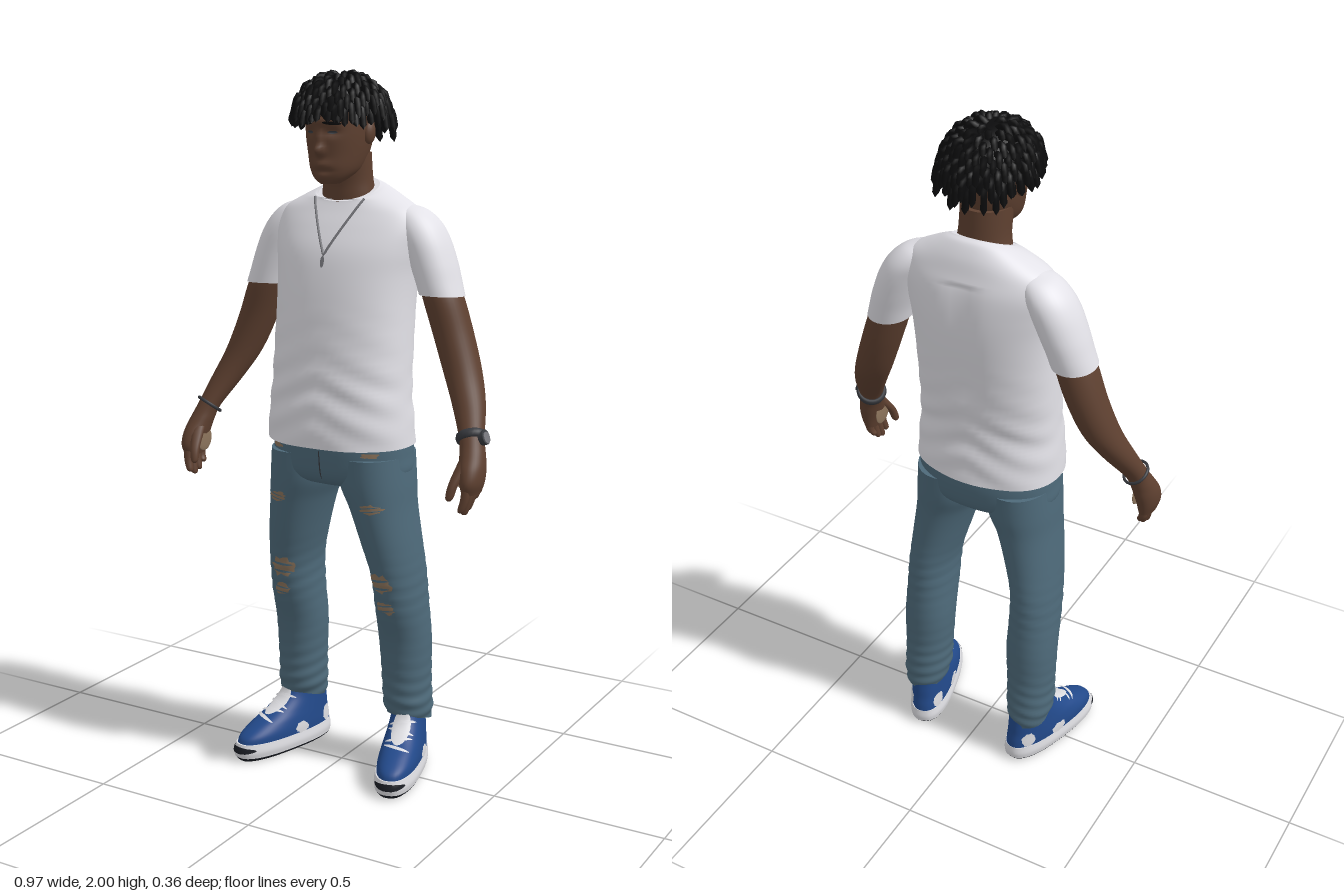
import * as THREE from 'three';
import { mergeGeometries } from 'three/addons/utils/BufferGeometryUtils.js';

const V = (x, y, z) => new THREE.Vector3(x, y, z);
const mat = (name, color) => Object.assign(new THREE.MeshStandardMaterial({ color }), { name });

// Closed smooth skin through elliptical rings [x, y, z, rx, rz, tilt]; tilt lowers the front edge
function loft(rings, { seg = 32, steps = 6, power = 2, deform } = {}) {
  const mid = new THREE.CatmullRomCurve3(rings.map(r => V(r[0], r[1], r[2])), false, 'catmullrom');
  const rad = new THREE.CatmullRomCurve3(rings.map(r => V(r[3], r[4], r[5] || 0)), false, 'catmullrom');
  const n = (rings.length - 1) * steps, pos = [], idx = [];
  const bend = c => Math.sign(c) * Math.abs(c) ** (2 / power);
  const addRing = t => {
    const c = mid.getPoint(t), r = rad.getPoint(t);
    for (let j = 0; j < seg; j++) {
      const a = j / seg * Math.PI * 2, s = bend(Math.sin(a));
      const p = V(c.x + r.x * bend(Math.cos(a)), c.y - r.z * s, c.z + r.y * s);
      if (deform) deform(p, c);
      pos.push(p.x, p.y, p.z);
    }
  };
  for (let i = 0; i <= n; i++) addRing(i / n);
  for (let i = 0; i < n; i++) for (let j = 0; j < seg; j++) {
    const k = (j + 1) % seg, a = i * seg + j, b = i * seg + k;
    idx.push(a, a + seg, b, b, a + seg, b + seg);
  }
  for (const t of [0, 1]) { // flat end caps
    const base = pos.length / 3, c = mid.getPoint(t);
    addRing(t);
    pos.push(c.x, c.y, c.z);
    for (let j = 0; j < seg; j++) {
      const a = base + j, b = base + (j + 1) % seg;
      idx.push(base + seg, ...(t ? [b, a] : [a, b]));
    }
  }
  const g = new THREE.BufferGeometry();
  g.setAttribute('position', new THREE.Float32BufferAttribute(pos, 3));
  g.setIndex(idx);
  g.computeVertexNormals();
  return g;
}

let seed = 7;
const rand = () => (seed = (seed * 16807) % 2147483647) / 2147483647;

// Point on a mesh seen from outside along dir
const ray = new THREE.Raycaster();
function project(mesh, p, dir, lift = 0.003) {
  ray.set(p.clone().addScaledVector(dir, 1), dir.clone().negate());
  const hit = ray.intersectObject(mesh)[0];
  return hit ? hit.point.addScaledVector(dir, lift) : null;
}

// Thin patch draped over a mesh, with an optionally ragged rim
function patchGeometry(mesh, c, dir, w, h, { jag = 0, lift = 0.003, roll = 0 } = {}) {
  const seg = 20, rows = 4, pos = [], idx = [];
  const a0 = V(0, 1, 0).cross(dir).normalize(), b0 = dir.clone().cross(a0);
  const a = a0.clone().applyAxisAngle(dir, roll), b = b0.applyAxisAngle(dir, roll);
  const centre = project(mesh, c, dir, lift) || c;
  pos.push(...centre.toArray());
  const rim = Array.from({ length: seg }, () => 1 - jag * rand());
  for (let i = 1; i <= rows; i++) for (let j = 0; j < seg; j++) {
    const t = j / seg * Math.PI * 2;
    let p = null;
    for (let r = rim[j] * i / rows; !p && r > 0.02; r *= 0.85)
      p = project(mesh, c.clone().addScaledVector(a, w * r * Math.cos(t)).addScaledVector(b, h * r * Math.sin(t)), dir, lift);
    pos.push(...(p || centre).toArray());
    const k = (j + 1) % seg, o = 1 + (i - 1) * seg;
    if (i === 1) idx.push(0, o + j, o + k);
    else idx.push(o - seg + j, o + j, o + k, o - seg + j, o + k, o - seg + k);
  }
  const g = new THREE.BufferGeometry();
  g.setAttribute('position', new THREE.Float32BufferAttribute(pos, 3));
  g.setIndex(idx);
  g.computeVertexNormals();
  return g;
}

export function createModel() {
  const M = {
    skin: mat('skin', 0x5e4030), hair: mat('hair', 0x0b0b0c), shirt: mat('shirt cotton', 0xe3e2e8),
    denim: mat('denim', 0x4e6a7a), tan: mat('tan', 0x8c745c), blue: mat('shoe blue', 0x22498a),
    white: mat('shoe white', 0xdcdce0), sole: mat('outsole', 0x1a1d24), metal: mat('chain metal', 0x77777c),
    dark: mat('dark metal', 0x383a3f),
  };
  const root = new THREE.Group();
  const add = (name, geo, m, parent = root) => {
    const mesh = new THREE.Mesh(geo, m);
    mesh.name = name;
    parent.add(mesh);
    return mesh;
  };
  const patch = (name, m, mesh, c, dir, w, h, o, parent) => add(name, patchGeometry(mesh, c, dir.normalize(), w, h, o), m, parent);
  const front = V(0, 0, 1);

  // Head: oval loft with facial relief pushed in and out along z
  const relief = [[0, 1.79, 0.024, 0.013, 0.014], [0, 1.82, 0.014, 0.009, 0.025], [0, 1.752, 0.009, 0.025, 0.012],
    [0, 1.718, 0.006, 0.02, 0.012], [-0.034, 1.838, -0.01, 0.018, 0.011], [0.034, 1.838, -0.01, 0.018, 0.011],
    [0, 1.867, 0.007, 0.05, 0.01], [0, 1.735, -0.004, 0.03, 0.006]];
  const head = add('head', loft([[0, 1.7, 0.062, 0.025, 0.03], [0, 1.715, 0.052, 0.046, 0.05], [0, 1.74, 0.03, 0.064, 0.08],
    [0, 1.78, 0.015, 0.075, 0.098], [0, 1.83, 0.008, 0.082, 0.112], [0, 1.88, 0.003, 0.084, 0.12], [0, 1.92, 0, 0.08, 0.112],
    [0, 1.95, -0.003, 0.06, 0.085], [0, 1.968, -0.005, 0.02, 0.03]], {
    seg: 72, steps: 7, power: 2.15, deform: (p, c) => {
      if (p.z < c.z) return;
      const { x, y } = p;
      for (const [bx, by, amt, sx, sy] of relief) p.z += amt * Math.exp(-(((x - bx) / sx) ** 2) - ((y - by) / sy) ** 2);
    },
  }), M.skin);
  add('neck', loft([[0, 1.58, -0.045, 0.085, 0.07], [0, 1.66, -0.04, 0.078, 0.066], [0, 1.71, -0.035, 0.071, 0.065],
    [0, 1.78, -0.022, 0.07, 0.074]]), M.skin);
  for (const s of [1, -1]) {
    const ear = add('ear', new THREE.SphereGeometry(1, 16, 12), M.skin);
    ear.scale.set(0.013, 0.031, 0.02);
    ear.position.set(s * 0.085, 1.835, -0.003);
    ear.rotation.set(-0.15, s * -0.3, 0);
    patch('eye', M.dark, head, V(s * 0.034, 1.838, 0), front, 0.012, 0.004, { lift: 0.002 });
    patch('eyebrow', M.hair, head, V(s * 0.036, 1.862, 0), front, 0.021, 0.0045, { lift: 0.002, roll: s * -0.08 });
  }

  // Hair: scalp cap with locks radiating from the crown and drooping
  const cap = add('scalp hair', new THREE.SphereGeometry(1, 32, 20, 0, Math.PI * 2, 0, 1.75), M.hair);
  cap.scale.set(0.102, 0.092, 0.126);
  cap.position.set(0, 1.893, -0.008);
  cap.rotation.x = -0.22;
  cap.material.side = THREE.DoubleSide;
  const locks = [], count = 170;
  for (let i = 0; i < count; i++) {
    const u = 1 - 1.12 * (i + 0.5) / count, a = i * 2.39996, h = Math.sqrt(1 - u * u);
    const d = V(Math.cos(a) * h, u, Math.sin(a) * h), back = Math.max(0, -d.z);
    const p = V(d.x * 0.1, 1.893 + u * 0.088 - 0.022 * back, d.z * 0.122 - 0.008);
    const out = V(Math.cos(a), 0, Math.sin(a)), k = 0.7 + 0.5 * rand(), low = 1.875 - 0.07 * back - 0.02 * Math.abs(d.x) - 0.02 * rand();
    const q = p.clone().addScaledVector(out, 0.02 * k).add(V(0, 0.012 * u, 0));
    const e = p.clone().addScaledVector(out, 0.034 * k);
    e.y = Math.max(low, p.y - 0.05 * k * (1.15 - u));
    const g = new THREE.TubeGeometry(new THREE.CatmullRomCurve3([p, q, e]), 6, 0.0095, 6), at = g.attributes.position;
    for (let j = at.count - 7; j < at.count; j++) at.setXYZ(j, e.x, e.y, e.z);
    locks.push(g);
  }
  add('hair locks', mergeGeometries(locks), M.hair);

  // T-shirt body with soft folds, shoulder slope and tilted neckline
  const shirt = add('shirt body', loft([[0, 0.98, 0, 0.217, 0.158], [0, 1.05, 0.002, 0.213, 0.155], [0, 1.12, 0.001, 0.207, 0.147],
    [0, 1.2, -0.006, 0.204, 0.146], [0, 1.35, -0.022, 0.202, 0.148], [0, 1.45, -0.034, 0.206, 0.145], [0, 1.52, -0.043, 0.216, 0.136],
    [0, 1.58, -0.054, 0.222, 0.118], [0, 1.625, -0.06, 0.205, 0.098], [0, 1.658, -0.06, 0.152, 0.085, 0.008],
    [0, 1.677, -0.05, 0.108, 0.076, 0.022], [0, 1.68, -0.039, 0.087, 0.07, 0.03]], {
    seg: 64, power: 2.25, deform: (p, c) => {
      const fade = Math.max(0, 1 - Math.abs(p.y - 1.13) / 0.25);
      p.z += 0.004 * fade * Math.sin(p.y * 75 + Math.abs(p.x) * 35);
      if (p.z < c.z && p.y > 1.25 && p.y < 1.6) p.z += 0.008 * Math.exp(-((p.x / 0.04) ** 2));
    },
  }), M.shirt);

  // Necklace draped on the chest
  const chain = [];
  for (let i = -10; i <= 10; i++) {
    const p = project(shirt, V(i * 0.0078, 1.51 + 0.0148 * Math.abs(i), 0), front, 0.002);
    if (p) chain.push(p);
  }
  add('necklace chain', new THREE.TubeGeometry(new THREE.CatmullRomCurve3(chain), 60, 0.0035, 6), M.metal);
  patch('pendant', M.metal, shirt, V(0, 1.492, 0), front, 0.006, 0.016, { lift: 0.005 });

  // Jeans seat
  const seat = add('jeans seat', loft([[0, 0.855, -0.01, 0.1, 0.07], [0, 0.872, -0.01, 0.17, 0.115], [0, 0.9, -0.01, 0.209, 0.137],
    [0, 0.95, -0.01, 0.21, 0.146], [0, 1, -0.008, 0.208, 0.147]], { seg: 48, power: 2.2 }), M.denim);
  patch('fly seam', M.dark, seat, V(0.008, 0.93, 0), front, 0.002, 0.045);

  for (const s of [1, -1]) {
    const side = s > 0 ? 'left' : 'right', mirror = rings => rings.map(r => [r[0] * s, ...r.slice(1)]);

    // Sleeve, arm and hand
    add(side + ' sleeve', loft(mirror([[0.281, 1.4, -0.063, 0.062, 0.069, -0.004], [0.268, 1.44, -0.066, 0.062, 0.073], [0.25, 1.49, -0.069, 0.064, 0.077],
      [0.225, 1.55, -0.071, 0.065, 0.078], [0.2, 1.595, -0.072, 0.062, 0.07], [0.178, 1.628, -0.07, 0.045, 0.05], [0.165, 1.643, -0.068, 0.012, 0.015]])), M.shirt);
    add(side + ' arm', loft(mirror([[0.452, 0.9, 0.085, 0.022, 0.042], [0.453, 0.93, 0.085, 0.03, 0.05], [0.449, 0.965, 0.075, 0.034, 0.049],
      [0.441, 1.0, 0.06, 0.034, 0.041], [0.428, 1.04, 0.04, 0.034, 0.037], [0.394, 1.12, -0.008, 0.046, 0.047], [0.357, 1.2, -0.043, 0.053, 0.056],
      [0.318, 1.3, -0.06, 0.056, 0.06], [0.283, 1.4, -0.063, 0.056, 0.062], [0.262, 1.45, -0.066, 0.05, 0.055]])), M.skin);
    for (let i = 0; i < 4; i++) {
      const z = 0.052 + i * 0.022, tip = [0.868, 0.85, 0.842, 0.852][i];
      add(side + ' finger', loft(mirror([[0.44, tip, z + 0.008, 0.005, 0.005], [0.442, tip + 0.008, z + 0.008, 0.01, 0.0105],
        [0.45, 0.89, z + 0.004, 0.012, 0.012], [0.453, 0.93, z, 0.013, 0.012]]), { seg: 10, steps: 4 }), M.skin);
    }
    add(side + ' thumb', loft(mirror([[0.413, 0.885, 0.142, 0.005, 0.006], [0.414, 0.895, 0.14, 0.011, 0.012], [0.42, 0.93, 0.128, 0.014, 0.014],
      [0.435, 0.985, 0.085, 0.02, 0.022]]), { seg: 12, steps: 4 }), M.skin);
    const palm = add(side + ' palm', new THREE.SphereGeometry(1, 16, 12), M.tan);
    palm.scale.set(0.004, 0.036, 0.035);
    palm.position.set(s * 0.42, 0.945, 0.08);

    // Watch on the left wrist, bracelet on the right
    const band = add(s > 0 ? 'watch band' : 'bracelet', new THREE.TorusGeometry(0.037, s > 0 ? 0.007 : 0.004, 8, 28), M.dark);
    band.position.set(s * 0.428, 1.04, 0.04);
    band.lookAt(s * 0.463, 0.96, 0.085);
    band.scale.z = s > 0 ? 1.8 : 1.2;
    if (s > 0) {
      for (const [name, r, h, m, x] of [['watch case', 0.021, 0.014, M.dark, 0.466], ['watch dial', 0.016, 0.006, M.metal, 0.473]]) {
        const disc = add(name, new THREE.CylinderGeometry(r, r, h, 24), m);
        disc.position.set(x, 1.045, 0.045);
        disc.rotation.z = -Math.PI / 2 + 0.35;
      }
    }

    // Trouser leg with bunched cuff
    const leg = add(side + ' jeans leg', loft(mirror([[0.181, 0.15, -0.082, 0.06, 0.074, -0.022], [0.18, 0.19, -0.079, 0.068, 0.08, -0.015], [0.178, 0.24, -0.076, 0.068, 0.079],
      [0.177, 0.3, -0.073, 0.07, 0.078], [0.175, 0.4, -0.067, 0.073, 0.083], [0.174, 0.5, -0.048, 0.07, 0.095], [0.17, 0.6, -0.034, 0.068, 0.104],
      [0.153, 0.7, -0.02, 0.076, 0.112], [0.132, 0.8, -0.011, 0.086, 0.12], [0.115, 0.87, -0.01, 0.099, 0.13], [0.109, 0.95, -0.01, 0.098, 0.135]]), {
      seg: 40, steps: 8, power: 2.15, deform: (p, c) => {
        const f = 0.05 * Math.max(0, 1 - p.y / 0.42) + 0.018 * Math.exp(-(((p.y - 0.55) / 0.08) ** 2));
        const k = 1 + f * Math.sin(p.y * 150 + (p.x - c.x) * 30 * s + p.z * 18);
        p.x = c.x + (p.x - c.x) * k;
        p.z = c.z + (p.z - c.z) * k;
      },
    }), M.denim);
    for (const [x, y, w, h] of [[0.155, 0.815, 0.042, 0.017], [0.162, 0.588, 0.042, 0.038], [0.174, 0.515, 0.036, 0.024]]) {
      patch('rip', M.tan, leg, V(x * s, y, 0), front, w, h, { jag: 0.45, roll: s * -0.1 });
      for (const d of [-0.35, 0.3])
        patch('rip thread', M.denim, leg, V(x * s, y + d * h, 0), front, w * 0.75, h * 0.1, { lift: 0.006, roll: s * 0.12 });
    }
    patch('waist rip', M.tan, seat, V(s * 0.15, 0.965, 0), front, 0.028, 0.009, { jag: 0.4 });

    // Sneaker, turned outward
    const shoe = new THREE.Group();
    shoe.name = side + ' shoe';
    shoe.position.set(s * 0.203, 0, 0);
    shoe.rotation.y = s * 0.27;
    root.add(shoe);
    add('outsole', loft([[0, 0, 0.004, 0.05, 0.168], [0, 0.008, 0.003, 0.06, 0.176], [0, 0.016, 0.003, 0.06, 0.178]], { power: 2.5 }), M.sole, shoe);
    const mid = add('midsole', loft([[0, 0.012, 0.003, 0.062, 0.179], [0, 0.03, 0.003, 0.064, 0.181], [0, 0.052, 0.001, 0.06, 0.176]], { seg: 48, power: 2.5 }), M.white, shoe);
    const upper = add('shoe upper', loft([[0, 0.045, 0, 0.059, 0.175], [0, 0.07, -0.005, 0.059, 0.167], [0, 0.095, -0.025, 0.056, 0.142], [0, 0.12, -0.052, 0.052, 0.112],
      [0, 0.15, -0.075, 0.048, 0.085], [0, 0.18, -0.085, 0.046, 0.073], [0, 0.2, -0.085, 0.044, 0.07, -0.008]], { seg: 48, power: 2.35 }), M.blue, shoe);
    patch('toe bumper', M.sole, mid, V(0, 0.036, 0), V(0, 0, 1), 0.045, 0.01, {}, shoe);
    patch('tongue', M.white, upper, V(0, 0.15, 0.02), V(0, 0.75, 1), 0.027, 0.058, {}, shoe);
    for (let i = 0; i < 4; i++)
      patch('lace', M.white, upper, V(0, 0.105 + i * 0.02, 0.07 - i * 0.02), V(0, 0.75, 1), 0.04, 0.005, { lift: 0.006, roll: i % 2 ? 0.2 : -0.2 }, shoe);
    for (const t of [1, -1]) {
      patch('side panel', M.white, upper, V(0, 0.068, -0.02), V(t, 0, 0), 0.032, 0.02, { jag: 0.3 }, shoe);
      patch('heel panel', M.white, upper, V(0, 0.078, -0.125), V(t, 0, -0.25), 0.025, 0.028, { jag: 0.2 }, shoe);
    }
  }
  return root;
}
